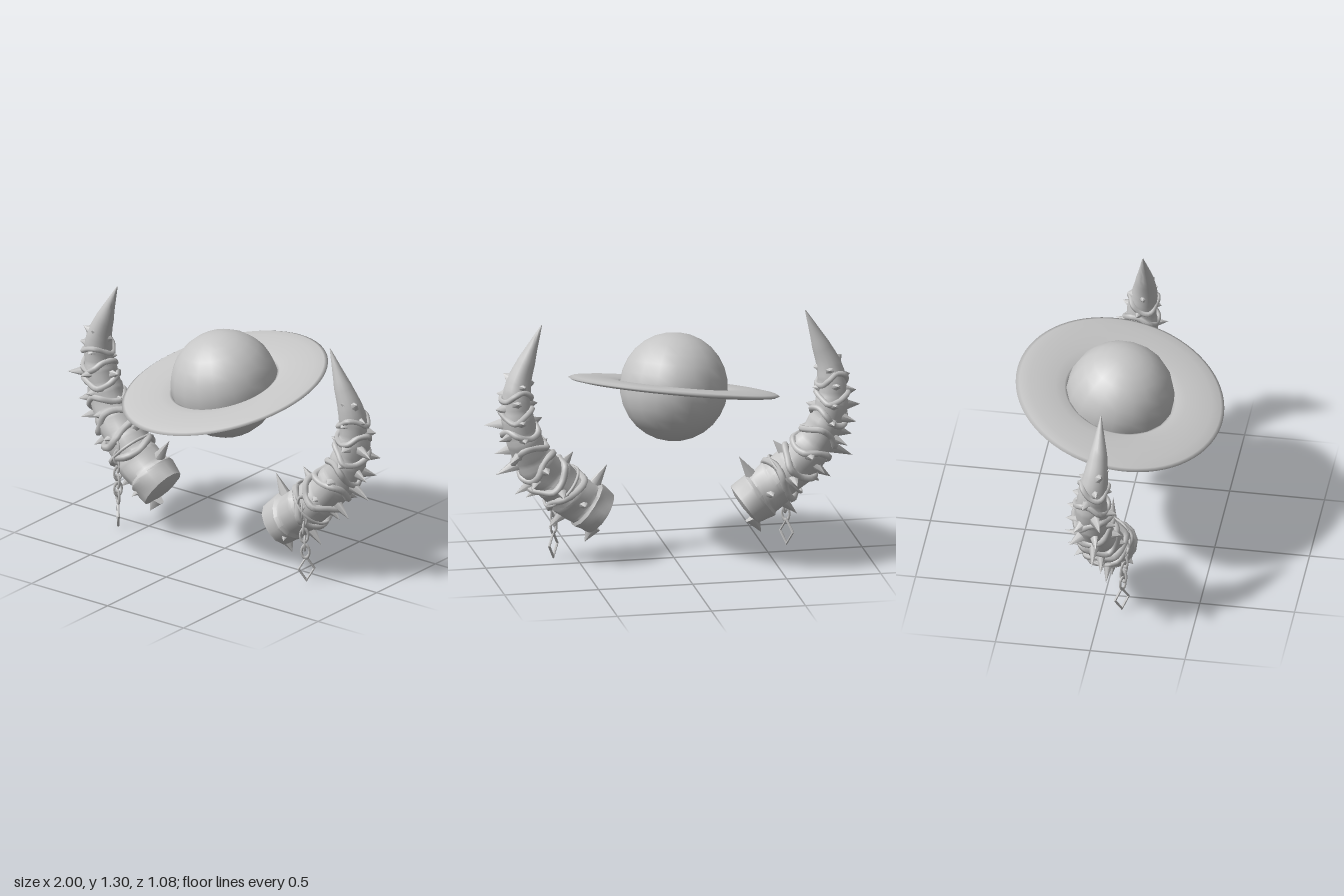
import * as THREE from 'three';
import { toCreasedNormals } from 'three/addons/utils/BufferGeometryUtils.js';

const stone = new THREE.MeshStandardMaterial({ color: 0xc6c6c6 });
stone.name = 'pale grey';
const V = (x, y, z) => new THREE.Vector3(x, y, z);
const Z = V(0, 0, 1);

function add(parent, name, geometry) {
  const mesh = new THREE.Mesh(geometry, stone);
  mesh.name = name;
  parent.add(mesh);
  return mesh;
}

// Horn spine: x, y, z, radius, from the blunt root to the tip
const SPINE = [
  [0.385, 0.26, 0.03, 0.13], [0.46, 0.315, 0.03, 0.13], [0.54, 0.375, 0.025, 0.12],
  [0.63, 0.455, 0.015, 0.115], [0.71, 0.54, 0.0, 0.105], [0.78, 0.65, -0.015, 0.095],
  [0.825, 0.77, -0.02, 0.09], [0.84, 0.89, -0.015, 0.08], [0.825, 1.0, 0.0, 0.068],
  [0.78, 1.12, 0.008, 0.047], [0.70, 1.31, 0.01, 0.002],
];

// Thorn tips
const TIPS = [
  [0.47, 0.11, 0.03], [0.53, 0.61, 0.02], [0.35, 0.53, 0.02], [0.66, 0.2, 0.03],
  [0.78, 0.37, 0.03], [0.67, 0.69, 0.01], [0.72, 0.69, -0.02], [0.84, 0.39, 0.03],
  [0.95, 0.51, 0.0], [0.95, 0.62, 0.02], [1.0, 0.77, 0.05], [0.96, 0.88, -0.05],
  [0.94, 0.95, 0.02], [0.9, 1.05, 0.04], [0.7, 0.81, 0.0], [0.73, 0.9, -0.03],
  [0.74, 1.0, 0.0], [0.62, 0.41, -0.18], [0.7, 0.55, -0.18], [0.82, 0.72, -0.16],
  [0.83, 0.82, -0.15], [0.85, 0.92, -0.12], [0.5, 0.35, -0.14], [0.81, 1.0, -0.09],
  [0.69, 0.49, 0.14], [0.77, 0.6, 0.13], [0.83, 0.7, 0.11], [0.86, 0.8, 0.12],
  [0.83, 0.92, 0.09], [0.82, 1.05, 0.07], [0.95, 0.72, -0.1], [0.78, 0.45, -0.12],
  [0.5, 0.22, 0.15], [0.9, 0.6, -0.13],
];

function createHorn(side) {
  const horn = new THREE.Group();
  horn.name = side > 0 ? 'leftHorn' : 'rightHorn';
  const curve = new THREE.CatmullRomCurve3(SPINE.map(([x, y, z]) => V(x * side, y, z)));
  const frame = (t) => {
    const k = Math.min(t * (SPINE.length - 1), SPINE.length - 1.0001), i = Math.floor(k);
    const r = THREE.MathUtils.lerp(SPINE[i][3], SPINE[i + 1][3], k - i);
    const tangent = curve.getTangent(t);
    const n = V().crossVectors(Z, tangent).normalize();
    return { p: curve.getPoint(t), n, b: V().crossVectors(tangent, n), tangent, r };
  };
  const around = (f, a, r) => f.p.clone()
    .addScaledVector(f.n, Math.cos(a) * r).addScaledVector(f.b, Math.sin(a) * r);

  // Tapering body with uneven growth steps and a domed root
  const sides = 14, rows = 60, pos = [], index = [];
  const rings = [[0, 0, -0.018], [0, 0.6, -0.014]];
  for (let i = 0; i <= rows; i++) rings.push([i / rows, 1, 0]);
  rings.forEach(([t, scale, shift], j) => {
    const f = frame(t);
    f.p.addScaledVector(f.tangent, shift);
    for (let i = 0; i < sides; i++) {
      const a = i / sides * Math.PI * 2;
      const step = t < 0.78 ? 0.93 + 0.1 * ((t * 9) % 1) : 1;
      const lump = t < 0.75 ? 1 + 0.04 * Math.sin(3 * a + t * 25) : 1;
      pos.push(...around(f, a, f.r * scale * step * lump).toArray());
      if (j < rings.length - 1) {
        const a0 = j * sides + i, a1 = j * sides + (i + 1) % sides;
        index.push(a0, a1, a0 + sides, a1, a1 + sides, a0 + sides);
      }
    }
  });
  const body = new THREE.BufferGeometry();
  body.setAttribute('position', new THREE.Float32BufferAttribute(pos, 3));
  body.setIndex(index);
  add(horn, 'hornBody', toCreasedNormals(body, 0.7));

  // Wavy bramble bands wrapped round the body
  [0.24, 0.33, 0.42, 0.5, 0.58, 0.66, 0.74].forEach((t, j) => {
    const pts = [];
    for (let i = 0; i < 10; i++) {
      const a = i / 10 * Math.PI * 2;
      const f = frame(t + 0.025 * Math.sin(a * 2 + j * 1.7));
      pts.push(around(f, a, f.r * (i % 2 ? 1.06 : 0.93)));
    }
    const loop = new THREE.CatmullRomCurve3(pts, true);
    add(horn, 'brambleBand', new THREE.TubeGeometry(loop, 40, 0.02 - j * 0.0008, 6, true));
  });

  // Thorns grow from the nearest part of the body
  TIPS.forEach(([x, y, z]) => {
    const tip = V(x * side, y, z);
    let best = frame(0);
    for (let t = 0.04; t < 0.82; t += 0.02) {
      const f = frame(t);
      if (f.p.distanceTo(tip) - f.r < best.p.distanceTo(tip) - best.r) best = f;
    }
    const dir = tip.clone().sub(best.p).normalize();
    const root = best.p.clone().addScaledVector(dir, best.r * 0.6);
    const length = root.distanceTo(tip);
    const cone = new THREE.ConeGeometry(0.045, length, 6, 1).translate(0, length / 2, 0);
    cone.scale(1, 1, 0.75);
    const thorn = add(horn, 'thorn', cone);
    thorn.position.copy(root);
    thorn.quaternion.setFromUnitVectors(V(0, 1, 0), dir);
  });

  // Thin strap holding the chain
  const strapFrame = frame(0.26), strapPoints = [];
  for (let i = 0; i < 12; i++) strapPoints.push(around(strapFrame, i / 6 * Math.PI, strapFrame.r * 1.08));
  add(horn, 'chainStrap',
    new THREE.TubeGeometry(new THREE.CatmullRomCurve3(strapPoints, true), 36, 0.008, 6, true));

  // Hanging chain with a diamond pendant
  for (let i = 0; i < 7; i++) {
    const link = add(horn, 'chainLink', new THREE.TorusGeometry(0.021, 0.0065, 6, 12).scale(1, 1.7, 1));
    link.position.set(side * (0.605 + i * 0.002), 0.455 - i * 0.046, 0.13 - i * 0.003);
    link.rotation.y = side * (0.6 + (i % 2) * Math.PI / 2);
  }
  const pendant = add(horn, 'diamondPendant',
    toCreasedNormals(new THREE.TorusGeometry(0.042, 0.007, 6, 4).scale(1, 1.55, 1), 0.6));
  pendant.position.set(side * 0.62, 0.083, 0.107);
  pendant.rotation.y = side * 0.85;
  return horn;
}

export function createModel() {
  const model = new THREE.Group();
  model.name = 'ringedPlanetWithHorns';

  // Tilted planet and its flat lens-shaped ring
  const planet = new THREE.Group();
  planet.name = 'planet';
  planet.position.set(0, 0.936, 0);
  planet.quaternion.setFromUnitVectors(V(0, 1, 0), V(-0.14, 1, 0.21).normalize());
  add(planet, 'planetBall', new THREE.SphereGeometry(0.285, 18, 14));
  add(planet, 'planetRing',
    new THREE.TorusGeometry(0.415, 0.138, 12, 72).scale(1, 1, 0.14).rotateX(Math.PI / 2));
  model.add(planet);

  for (const side of [1, -1]) model.add(createHorn(side));
  return model;
}
